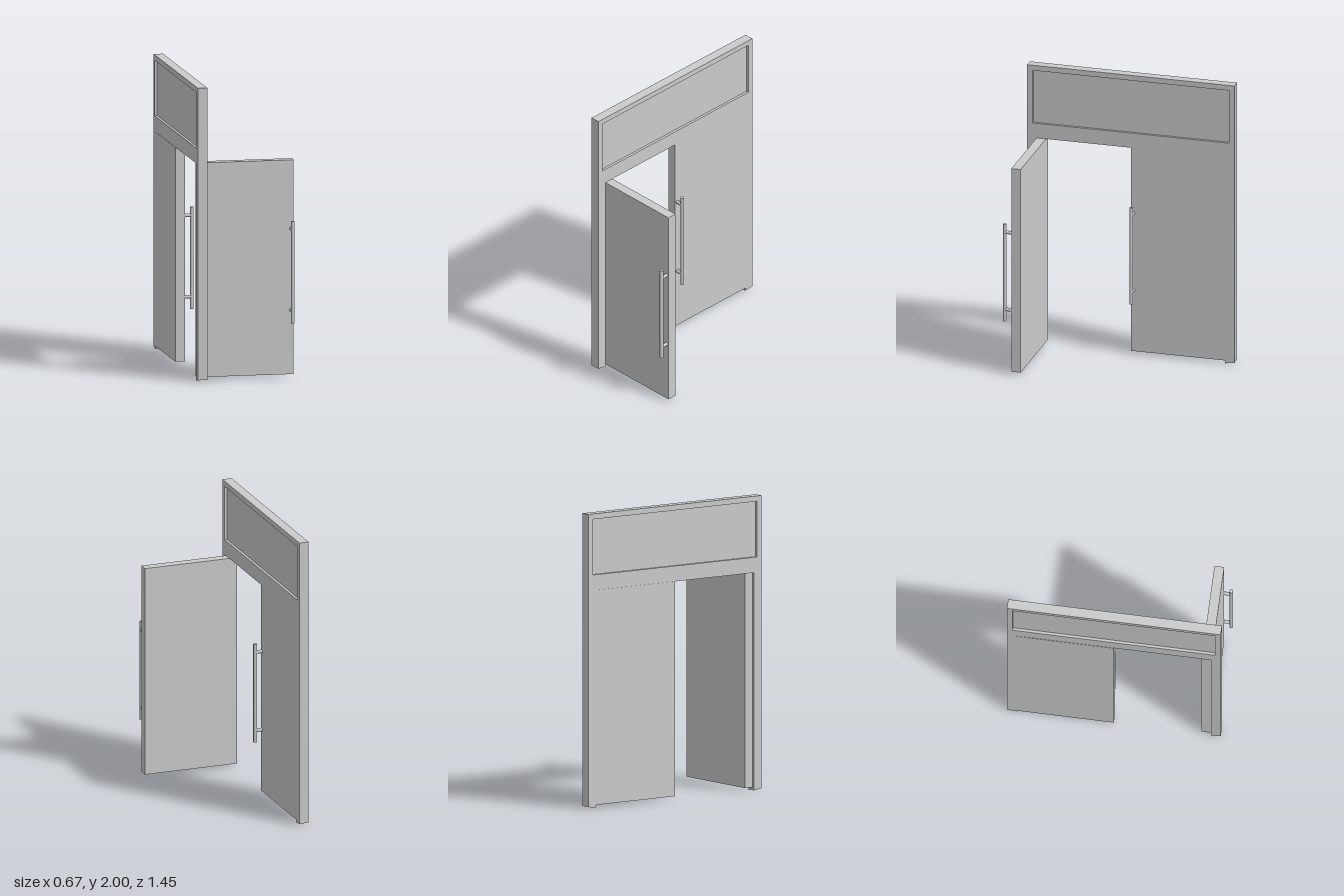
import * as THREE from 'three';

const mat = new THREE.MeshStandardMaterial({ color: 0xcccccc });

const T = 0.066;          // frame and leaf thickness
const HALF = 0.725;       // half width of the frame
const OPEN = 0.66;        // half width of the door opening, also leaf width
const HEAD = 1.48;        // top of the opening
const FRAME_X = -0.337;   // back face of the frame

function add(parent, name, geometry, x = 0, y = 0, z = 0) {
  const mesh = new THREE.Mesh(geometry, mat);
  mesh.name = name;
  mesh.position.set(x, y, z);
  parent.add(mesh);
  return mesh;
}

// Posts, lintel and top rail in one outline, with a hole for the transom panel
function buildFrame() {
  const frame = new THREE.Group();
  frame.name = 'frame';
  const outline = new THREE.Shape([
    [-HALF, 0.01], [-OPEN, 0], [-OPEN, HEAD], [OPEN, HEAD],
    [OPEN, 0], [HALF, 0.01], [HALF, 2], [-HALF, 2],
  ].map(([u, v]) => new THREE.Vector2(u, v)));
  const w = 0.687, y0 = 1.585, y1 = 1.963;
  outline.holes.push(new THREE.Path([
    new THREE.Vector2(-w, y0), new THREE.Vector2(-w, y1),
    new THREE.Vector2(w, y1), new THREE.Vector2(w, y0),
  ]));
  const geometry = new THREE.ExtrudeGeometry(outline, { depth: T, bevelEnabled: false });
  geometry.rotateY(Math.PI / 2);
  add(frame, 'doorFrame', geometry, FRAME_X);
  add(frame, 'transomPanel', new THREE.BoxGeometry(0.03, y1 - y0, w * 2),
    FRAME_X + T / 2, (y0 + y1) / 2, 0);
  return frame;
}

// Door leaf hinged at the origin, reaching along z in direction dir, pull handle on +x
function buildLeaf(name, dir) {
  const leaf = new THREE.Group();
  leaf.name = name;
  const bottom = 0.02;
  add(leaf, 'doorPanel', new THREE.BoxGeometry(T, HEAD - bottom, OPEN),
    T / 2, (HEAD + bottom) / 2, dir * OPEN / 2);
  const z = dir * (OPEN - 0.017), reach = 0.05;
  add(leaf, 'handleBar', new THREE.CylinderGeometry(0.0125, 0.0125, 0.695, 20),
    T + reach, 0.7225, z);
  for (const y of [0.458, 1.012]) {
    const standoff = new THREE.CylinderGeometry(0.012, 0.012, reach, 16).rotateZ(Math.PI / 2);
    add(leaf, 'handleStandoff', standoff, T + reach / 2, y, z);
  }
  return leaf;
}

export function createModel() {
  const model = new THREE.Group();
  model.name = 'doubleDoor';
  model.add(buildFrame());

  // Closed leaf, a hair proud of the frame at the back
  const closed = buildLeaf('closedLeaf', 1);
  closed.position.set(FRAME_X - 0.002, 0, -OPEN);
  model.add(closed);

  // Open leaf, swung a quarter turn out of the frame
  const open = buildLeaf('openLeaf', -1);
  open.rotation.y = -Math.PI / 2;
  open.position.set(-0.325, 0, OPEN - T);
  model.add(open);
  return model;
}
